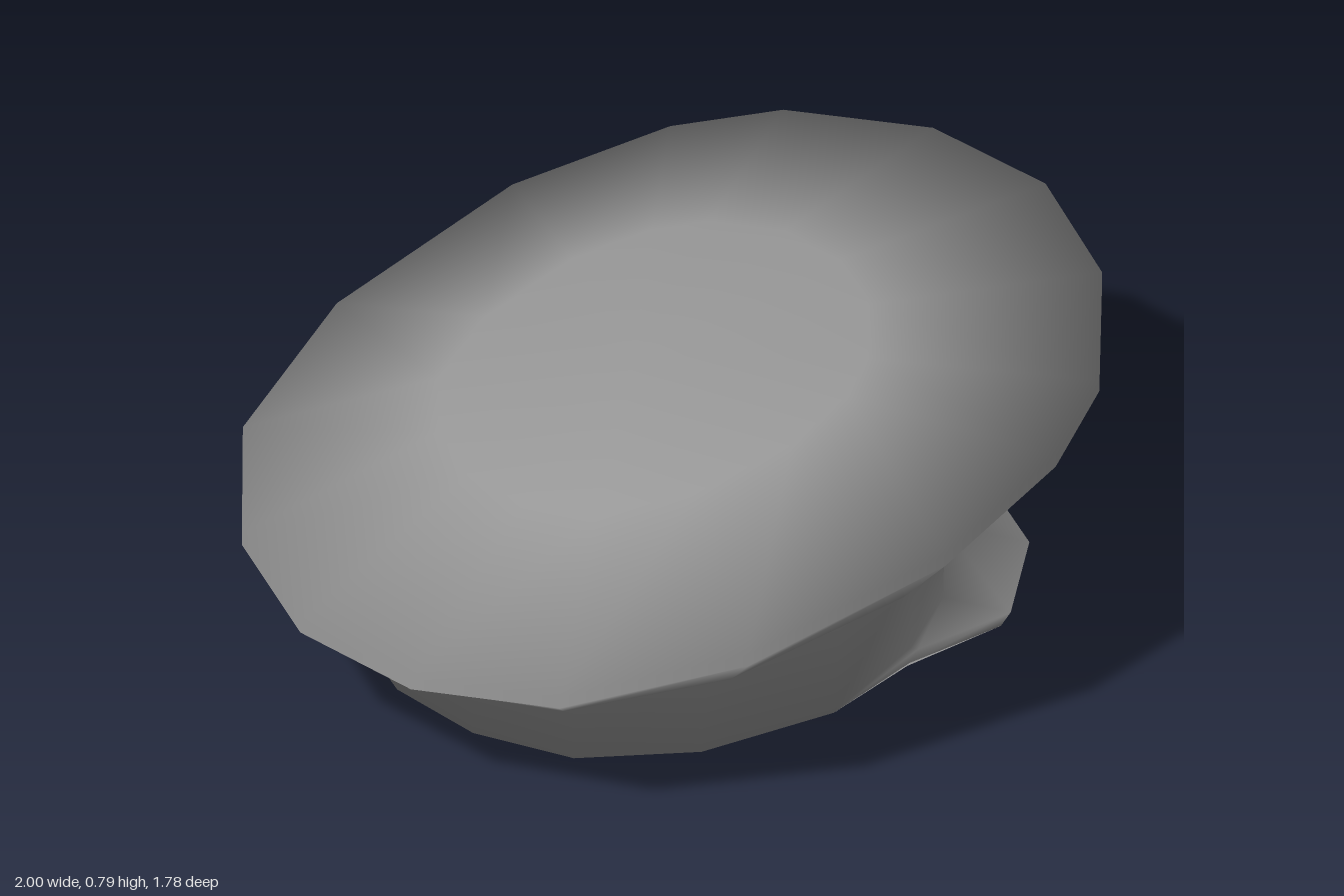
import * as THREE from 'three';
import { mergeVertices } from 'three/addons/utils/BufferGeometryUtils.js';

// Half outline of the crown as fractions of its radii, from +x round to -x
const UX = [1, 0.925, 0.72, 0.51, 0.15, -0.35, -0.73, -0.93, -1];
const UZ = [0, 0.39, 0.73, 0.89, 1, 0.95, 0.73, 0.39, 0];
const SIDES = 16;

// Mirror a half outline, given by at(k) for k = 0..8 with z >= 0, into a closed section
function section(at) {
  return Array.from({ length: SIDES }, (_, i) => {
    const [x, y, z] = at(i <= 8 ? i : SIDES - i);
    return [x, y, i <= 8 ? z : -z];
  });
}

// A point on a section tilted so that y runs from yBack (-x) to yFront (+x)
const onRing = (cx, rx, rz, yBack, yFront) => (k) =>
  [cx + rx * UX[k], yBack + (yFront - yBack) * (UX[k] + 1) / 2, rz * UZ[k]];
const ring = (...args) => section(onRing(...args));

// Skin a list of closed sections with smooth normals
function loft(sections) {
  const index = [];
  for (let r = 0; r < sections.length - 1; r++) {
    for (let j = 0; j < SIDES; j++) {
      const a = r * SIDES + j, b = r * SIDES + (j + 1) % SIDES, c = a + SIDES, d = b + SIDES;
      index.push(a, c, b, b, c, d);
    }
  }
  const geometry = new THREE.BufferGeometry();
  geometry.setAttribute('position', new THREE.Float32BufferAttribute(sections.flat(2), 3));
  geometry.setIndex(index);
  const merged = mergeVertices(geometry, 1e-5);
  merged.computeVertexNormals();
  return merged;
}

// Round the shading over the thin rim: its normals point straight outward
function softenRim(geometry) {
  const { position, normal } = geometry.attributes;
  const v = new THREE.Vector3();
  for (let i = 0; i < position.count; i++) {
    v.fromBufferAttribute(position, i);
    if (Math.hypot(v.x, v.z / 0.89) < 0.97) continue;
    v.setY(0.1).normalize();
    normal.setXYZ(i, v.x, v.y, v.z);
  }
  return geometry;
}

// Visor half outlines, from the middle to the corner where it meets the band
const VISOR_LOWER = [[0.82, 0.005, 0], [0.765, 0.005, 0.25], [0.56, 0.035, 0.49], [0.28, 0.063, 0.54]];
const VISOR_UPPER = [[0.845, 0.045, 0], [0.79, 0.045, 0.255], [0.58, 0.07, 0.5], [0.3, 0.1, 0.548]];
const VISOR_JOIN = [[0.61, 0.185, 0], [0.56, 0.175, 0.245], [0.425, 0.145, 0.46], [0.277, 0.115, 0.552]];

export function createModel() {
  const cap = new THREE.Group();
  cap.name = 'peakedCap';
  const material = new THREE.MeshStandardMaterial({ color: 0x959595, side: THREE.DoubleSide });

  const base = onRing(-0.07, 0.67, 0.615, 0.065, 0.065);
  const withVisor = (outline) => section((k) => outline[k] ?? base(k));

  const geometry = softenRim(loft([
    // Flat underside
    ring(-0.07, 0, 0, 0.065, 0.065),
    section(base),
    // Visor, running smoothly into the front of the band
    withVisor(VISOR_LOWER),
    withVisor(VISOR_UPPER),
    withVisor(VISOR_JOIN),
    // Top of the band and flaring underside of the crown
    ring(-0.068, 0.688, 0.635, 0.225, 0.4),
    ring(-0.035, 0.875, 0.8, 0.265, 0.6),
    // Thin rim
    ring(0, 1, 0.89, 0.315, 0.765),
    ring(0, 1, 0.89, 0.345, 0.795),
    // Low domed top
    ring(-0.05, 0.5, 0.45, 0.575, 0.79),
    ring(-0.1, 0, 0, 0.735, 0.735),
  ]));
  const body = new THREE.Mesh(geometry, material);
  body.name = 'crownBandAndVisor';
  cap.add(body);

  return cap;
}
